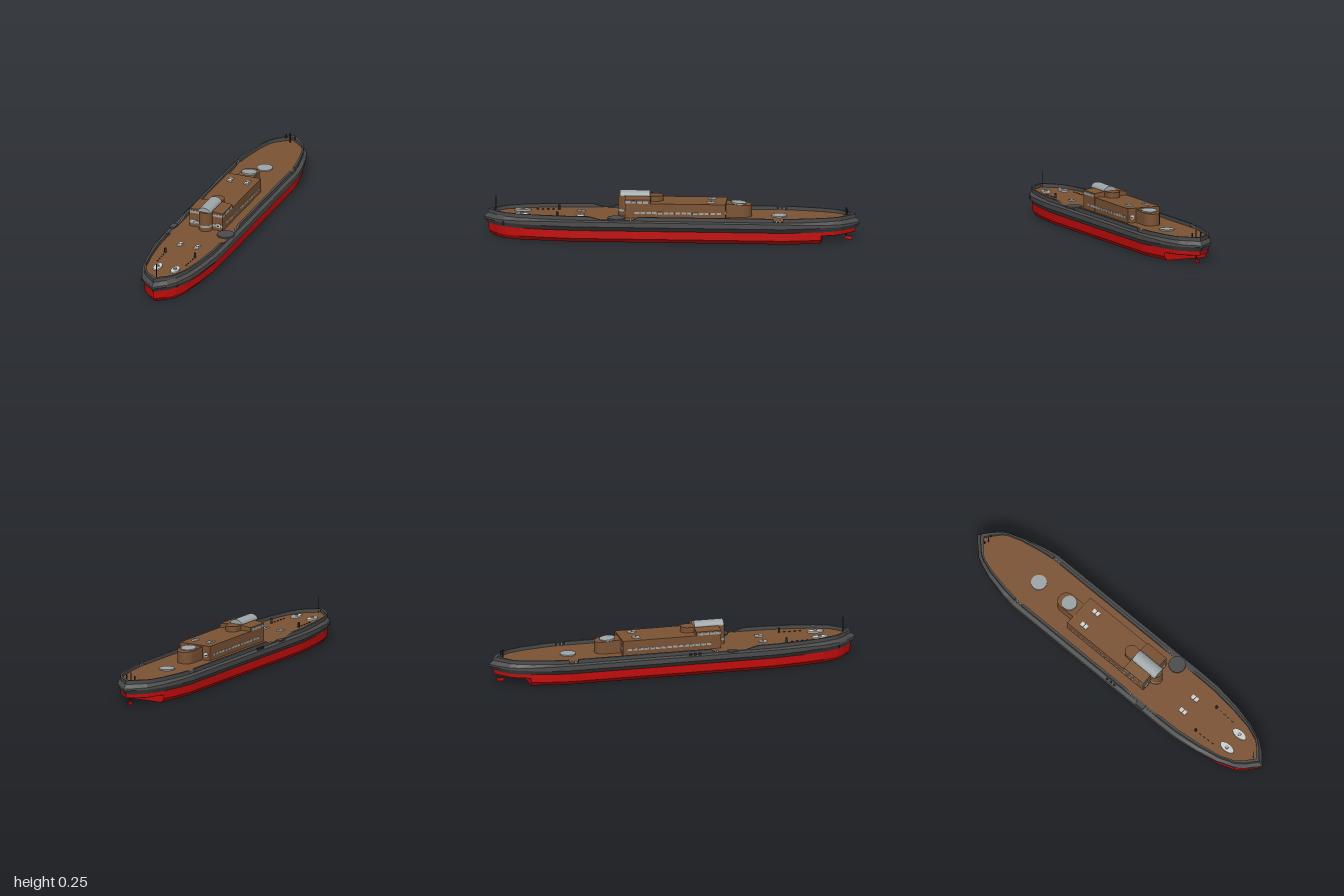
import * as THREE from 'three';

const mat = (name, color, side = THREE.FrontSide) => {
  const m = new THREE.MeshStandardMaterial({ color, side });
  m.name = name;
  return m;
};

export function createModel() {
  const group = new THREE.Group();
  const M = {
    grey: mat('hull grey', 0x4c4c4c),
    red: mat('bottom red', 0xc40c0c),
    brown: mat('deck brown', 0x7c5334),
    light: mat('light grey', 0x9fa6a8),
    white: mat('pale grey', 0xd0d2d0),
    dark: mat('fittings dark', 0x2e2e2e),
  };
  const add = (name, geo, m, x = 0, y = 0, z = 0) => {
    const mesh = new THREE.Mesh(geo, m);
    mesh.name = name;
    mesh.position.set(x, y, z);
    group.add(mesh);
    return mesh;
  };
  const box = (name, m, w, h, d, x, y, z) => add(name, new THREE.BoxGeometry(w, h, d), m, x, y, z);
  const cyl = (name, m, r, h, x, y, z, n = 20) => add(name, new THREE.CylinderGeometry(r, r, h, n), m, x, y, z);

  // Half outline of the hull at its widest level: [z, half width], bow to stern
  const outline = [[1, 0], [0.97, 0.03], [0.94, 0.065], [0.89, 0.102], [0.8, 0.138], [0.68, 0.164], [0.53, 0.183],
    [0.43, 0.185], [0.37, 0.185], [0.2, 0.185], [0.17, 0.185], [-0.549, 0.185], [-0.551, 0.185], [-0.599, 0.185],
    [-0.601, 0.184], [-0.68, 0.172], [-0.799, 0.143], [-0.801, 0.142], [-0.87, 0.116], [-0.91, 0.095],
    [-0.95, 0.056], [-0.975, 0.03], [-1, 0]];

  // Closed horizontal ring: widest half width, inset at the ends, height as number or function of z
  const ring = (half, inset, y) => {
    const right = outline.map(([z, w]) => {
      const zz = z - Math.sign(z) * Math.max(0, (Math.abs(z) - 0.85) / 0.15) * inset;
      return new THREE.Vector3(w * half / 0.185, typeof y === 'function' ? y(z) : y, zz);
    });
    const left = right.map(p => new THREE.Vector3(-p.x, p.y, p.z)).reverse();
    return [...right, ...left];
  };
  const build = quads => {
    const pos = [];
    for (const [a, b, c, d] of quads) {
      for (const p of [a, b, c, a, c, d]) pos.push(p.x, p.y, p.z);
    }
    const g = new THREE.BufferGeometry();
    g.setAttribute('position', new THREE.Float32BufferAttribute(pos, 3));
    g.computeVertexNormals();
    return g;
  };
  const loft = rings => {
    const quads = [];
    for (let k = 0; k + 1 < rings.length; k++) {
      const lo = rings[k], up = rings[k + 1], n = lo.length;
      for (let i = 0; i < n; i++) quads.push([lo[i], lo[(i + 1) % n], up[(i + 1) % n], up[i]]);
    }
    return quads;
  };
  const cap = (r, upward) => {
    const n = r.length, quads = [];
    for (let i = 0; i < n / 2 - 1; i++) {
      const q = [r[i], r[i + 1], r[n - 2 - i], r[n - 1 - i]];
      quads.push(upward ? q : q.reverse());
    }
    return quads;
  };

  // Red underwater hull, cut away under the stern
  const raised = (y, aft) => z => (z < -0.8 ? aft : y);
  const keel = ring(0.14, 0.05, raised(0, 0.04));
  const seam = ring(0.162, 0.025, 0.065);
  add('lowerHull', build([...cap(keel, false), ...loft([keel, ring(0.162, 0.027, raised(0.022, 0.045)), seam])]), M.red);

  // Grey topsides with a bulging side
  const shoulder = z => 0.1 + 0.016 * THREE.MathUtils.clamp((0.95 - Math.abs(z)) / 0.35, 0, 1);
  const deckEdge = ring(0.163, 0.022, 0.121);
  add('upperHull', build(loft([seam, ring(0.185, 0, 0.09), ring(0.185, 0, shoulder), deckEdge])), M.grey);

  // Bulwark with low stretches beside the bridge and aft
  const rail = z => ((z < 0.4 && z > 0.18) || (z < -0.55 && z > -0.6) ? 0.124 : 0.141);
  const inner = ring(0.15, 0.045, 0.119);
  add('bulwark', build(loft([deckEdge, ring(0.163, 0.022, rail), ring(0.15, 0.045, rail), inner])), M.grey);
  add('deck', build(cap(ring(0.152, 0.043, 0.122), true)), M.brown);

  // Upright block with rounded ends
  const stadium = (r, front, back, y0, y1) => {
    const s = new THREE.Shape();
    s.absarc(0, -(back + r), r, 0, Math.PI, false);
    s.absarc(0, -(front - r), r, Math.PI, Math.PI * 2, false);
    const g = new THREE.ExtrudeGeometry(s, { depth: y1 - y0, bevelEnabled: false, curveSegments: 10 });
    return g.rotateX(-Math.PI / 2).translate(0, y0, 0);
  };

  // Deckhouse and sloping rounded tail
  box('deckhouse', M.brown, 0.188, 0.08, 0.49, 0, 0.16, -0.045);
  const tail = stadium(0.046, -0.15, -0.425, 0.12, 0.2);
  const tp = tail.attributes.position;
  for (let i = 0; i < tp.count; i++) {
    if (tp.getY(i) > 0.15) tp.setY(i, 0.199 - 0.11 * Math.max(0, -0.29 - tp.getZ(i)));
  }
  tail.computeVertexNormals();
  add('deckhouseTail', tail, M.brown);

  // Bridge with a shallow pitched roof
  const bridge = new THREE.Shape([[-0.095, 0.12], [0.095, 0.12], [0.095, 0.221], [0.036, 0.228], [-0.036, 0.228],
    [-0.095, 0.221]].map(p => new THREE.Vector2(...p)));
  add('bridge', new THREE.ExtrudeGeometry(bridge, { depth: 0.135, bevelEnabled: false }), M.brown, 0, 0, 0.11);
  add('bridgeTower', stadium(0.036, 0.287, 0.045, 0.12, 0.229), M.brown);
  add('towerBaseBand', stadium(0.0365, 0.288, 0.2, 0.143, 0.155), M.light);
  const dome = new THREE.CylinderGeometry(0.036, 0.036, 0.16, 20, 1, false, Math.PI / 2, Math.PI);
  dome.rotateX(Math.PI / 2).scale(1, 0.72, 1);
  add('skylightVault', dome, M.light, 0, 0.227, 0.195);

  // Window bands, side windows, doors
  for (const s of [-1, 1]) {
    box('bridgeWindowFront', M.light, 0.058, 0.013, 0.003, s * 0.066, 0.207, 0.2455);
    box('bridgeBaseBand', M.light, 0.058, 0.013, 0.003, s * 0.066, 0.149, 0.2455);
    for (let i = 0; i < 4; i++) box('bridgeSideWindow', M.light, 0.003, 0.013, 0.026, s * 0.095, 0.207, 0.228 - i * 0.031);
    for (let i = 0; i < 15; i++) box('deckhouseWindow', M.light, 0.003, 0.011, 0.024, s * 0.0945, 0.15, 0.18 - i * 0.031);
    for (const [z, dir] of [[0.248, 1], [-0.292, -1]]) {
      box('door', M.white, 0.022, 0.02, 0.005, s * 0.07, 0.152, z);
      box('doorPanel', M.dark, 0.013, 0.006, 0.002, s * 0.07, 0.149, z + dir * 0.003);
    }
    // Hatches on the roof and foredeck
    for (const [y, z] of [[0.203, -0.21], [0.125, 0.485]]) {
      box('hatch', M.white, 0.024, 0.008, 0.042, s * 0.048, y, z);
      box('hatchBar', M.dark, 0.024, 0.002, 0.004, s * 0.048, y + 0.004, z);
    }
    // Foredeck winch plates, bollards and chains
    const plate = cyl('winchPlate', M.white, 0.021, 0.008, s * 0.05, 0.126, 0.795);
    plate.scale.z = 2.1;
    cyl('winchDrum', M.light, 0.01, 0.014, s * 0.05, 0.129, 0.795, 12);
    cyl('bollard', M.dark, 0.006, 0.026, s * 0.085, 0.135, 0.605, 10);
    for (let i = 0; i < 4; i++) box('chainLink', M.dark, 0.003, 0.004, 0.012, s * (0.084 - i * 0.001), 0.124, 0.635 + i * 0.028);
    cyl('sternBollard', M.dark, 0.004, 0.022, s * 0.025, 0.15, -0.93, 8);
    // Cleats in the bulwark gaps and anchors on the bow
    for (const z of [-0.565, -0.585, 0.21]) box('cleat', M.light, 0.008, 0.012, 0.01, s * 0.156, 0.128, z);
    const anchor = box('anchor', M.dark, 0.006, 0.02, 0.012, s * 0.098, 0.087, 0.888);
    anchor.rotation.y = s * 0.7;
  }
  for (const z of [0.06, 0.085, 0.11]) box('sideFender', M.dark, 0.008, 0.012, 0.012, -0.173, 0.124, z);
  box('sidePlatform', M.grey, 0.028, 0.008, 0.05, -0.168, 0.126, 0.29);

  // Round deck plates
  cyl('boardingPlatform', M.grey, 0.046, 0.008, 0.13, 0.128, 0.288, 28);
  cyl('aftDeckPlate', M.light, 0.042, 0.008, 0, 0.125, -0.57, 28);
  cyl('tailRoofPlate', M.light, 0.041, 0.008, 0, 0.193, -0.355, 28).rotation.x = -0.11;

  // Masts and rudder
  cyl('bowMast', M.dark, 0.002, 0.09, 0, 0.166, 0.935, 6);
  cyl('sternMast', M.dark, 0.003, 0.055, 0, 0.148, -0.925, 6);
  cyl('rudderStock', M.dark, 0.004, 0.045, 0, 0.03, -0.925, 8);
  box('rudder', M.red, 0.008, 0.018, 0.036, 0, 0.011, -0.938);
  return group;
}
